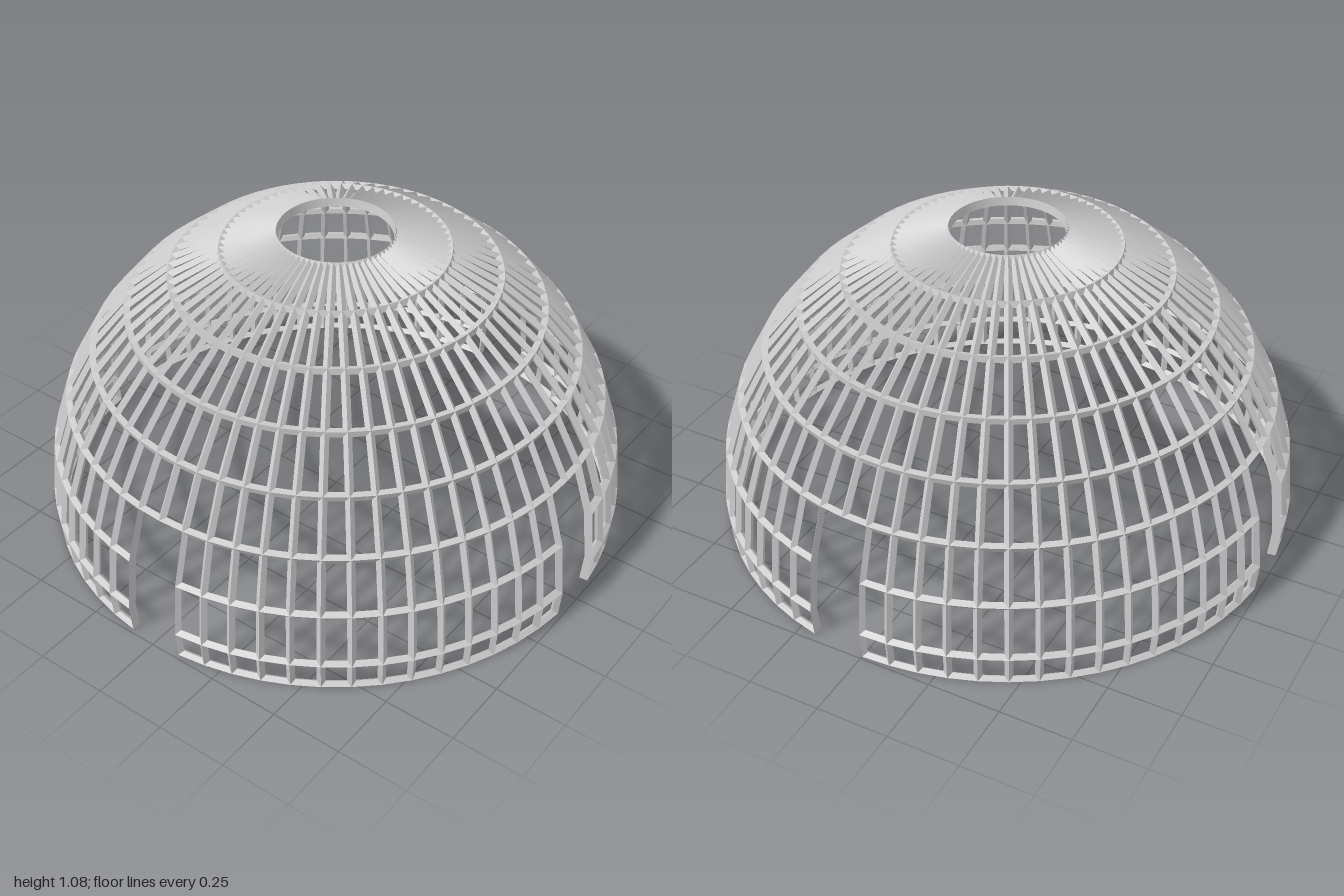
import * as THREE from 'three';

const SEGMENTS = 64;          // bays around the dome
const ROWS = 8;               // one short base row, then 11.25 degree steps
const CENTRE_Y = 0.1;
const OUTER = 1, MIDDLE = 0.985, INNER = 0.97;
const HALF_WIDTH = 0.014;     // half the width of a strut
const DOOR_ROWS = 3;
const DOOR_BAYS = [0, 1, 15, 16, 31, 32, 47, 48];

// Radius and height of the dome at a row line
function profile(row, size) {
  if (row === 0) return [size - 0.01, 0];
  const a = (row - 1) * Math.PI / 16;
  return [size * Math.cos(a), CENTRE_Y + size * Math.sin(a)];
}

function gridPoint(bay, row, size) {
  const [r, y] = profile(row, size);
  const a = bay * 2 * Math.PI / SEGMENTS;
  return new THREE.Vector3(r * Math.cos(a), y, r * Math.sin(a));
}

function hasBay(bay, row) {
  if (row < 0 || row >= ROWS) return false;
  const b = (bay + SEGMENTS) % SEGMENTS;
  return !(row < DOOR_ROWS && DOOR_BAYS.includes(b));
}

// Corner of the opening inside a bay, one half strut in from the grid lines
function openingCorner(bay, row, du, dv) {
  const low = profile(row, MIDDLE), high = profile(row + 1, MIDDLE);
  const inset = HALF_WIDTH / Math.hypot(high[0] - low[0], high[1] - low[1]);
  const v = dv ? 1 - inset : inset;
  const radius = low[0] + (high[0] - low[0]) * v;
  const across = HALF_WIDTH / (2 * radius * Math.sin(Math.PI / SEGMENTS));
  const u = du ? 1 - across : across;
  const left = gridPoint(bay, row, MIDDLE).lerp(gridPoint(bay, row + 1, MIDDLE), v);
  const right = gridPoint(bay + 1, row, MIDDLE).lerp(gridPoint(bay + 1, row + 1, MIDDLE), v);
  return left.lerp(right, u);
}

function addQuad(list, a, b, c, d) {
  for (const p of [a, b, c, a, c, d]) list.push(p.x, p.y, p.z);
}

function makeMesh(name, positions) {
  const geometry = new THREE.BufferGeometry();
  geometry.setAttribute('position', new THREE.Float32BufferAttribute(positions, 3));
  geometry.computeVertexNormals();
  const material = new THREE.MeshStandardMaterial({
    color: 0xcccccc, flatShading: true, side: THREE.DoubleSide,
  });
  const mesh = new THREE.Mesh(geometry, material);
  mesh.name = name;
  return mesh;
}

export function createModel() {
  const rings = [], ribs = [];
  // Bay corners, counter-clockwise from outside, and the neighbour across each edge
  const corners = [[1, 0], [0, 0], [0, 1], [1, 1]];
  const neighbours = [[0, -1], [-1, 0], [0, 1], [1, 0]];

  for (let row = 0; row < ROWS; row++) {
    for (let bay = 0; bay < SEGMENTS; bay++) {
      if (!hasBay(bay, row)) continue;
      const points = corners.map(([u, v]) => ({
        outer: gridPoint(bay + u, row + v, OUTER),
        inner: gridPoint(bay + u, row + v, INNER),
        side: openingCorner(bay, row, u, v),
      }));
      for (let k = 0; k < 4; k++) {
        const p = points[k], q = points[(k + 1) % 4];
        const list = k % 2 ? ribs : rings;
        // Half of a diamond-section strut
        addQuad(list, p.outer, q.outer, q.side, p.side);
        addQuad(list, p.inner, p.side, q.side, q.inner);
        // Flat face along doorways, base and top hole
        const [db, dr] = neighbours[k];
        if (!hasBay(bay + db, row + dr)) addQuad(list, q.outer, p.outer, p.inner, q.inner);
      }
    }
  }

  const model = new THREE.Group();
  model.name = 'latticeDome';
  model.add(makeMesh('horizontalRings', rings), makeMesh('verticalRibs', ribs));
  return model;
}
